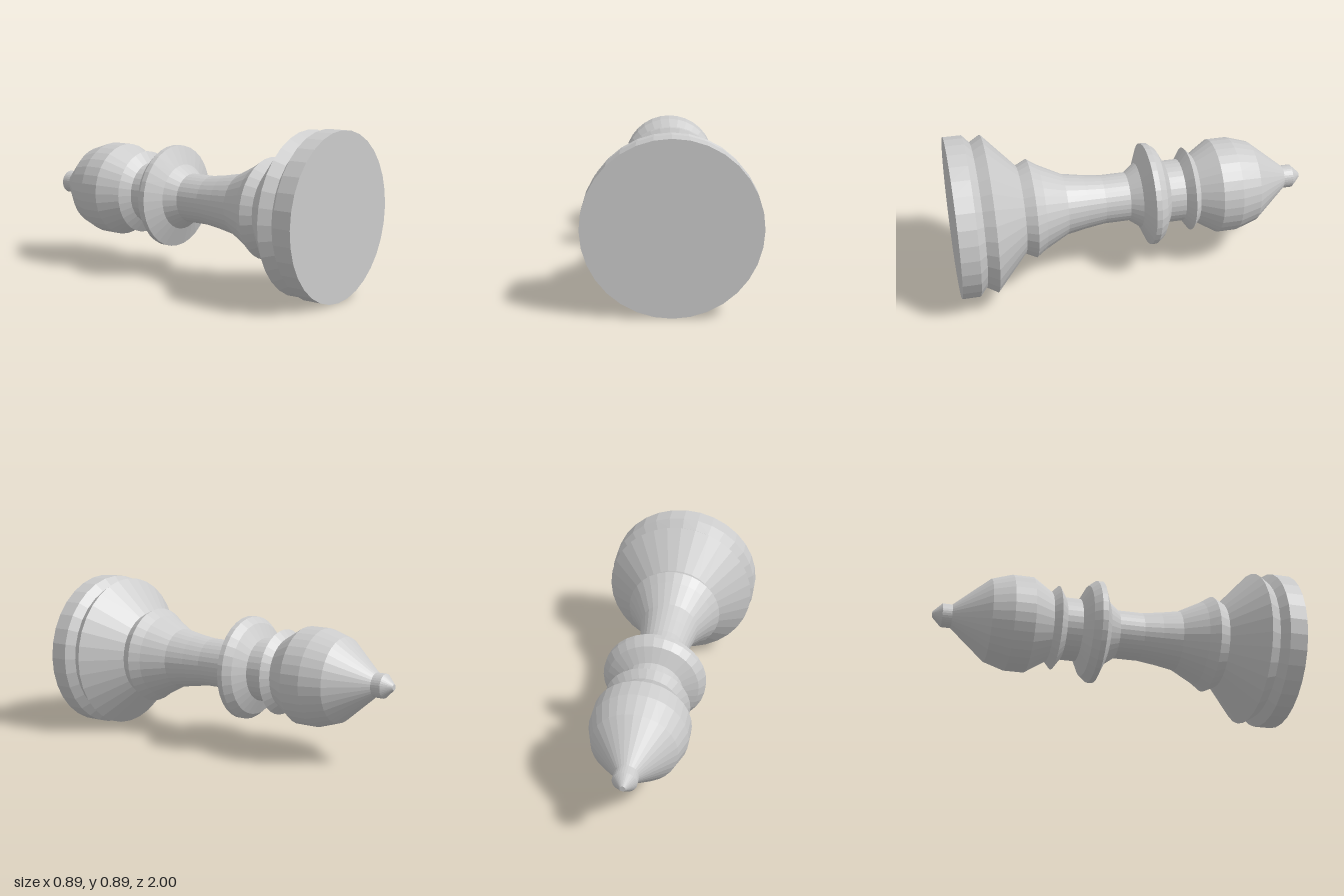
import * as THREE from 'three';

const SIDES = 32;
const AXIS_HEIGHT = 0.445;

// Each part is a run of [z, radius] rings, from the foot (z = 1) to the tip (z = -1).
const PARTS = {
  base: [[1, 0], [1, 0.445], [0.9, 0.445], [0.86, 0.4], [0.8, 0.436], [0.625, 0.245]],
  stem: [[0.625, 0.245], [0.565, 0.274], [0.51, 0.237], [0.38, 0.17], [0.27, 0.15],
    [0.165, 0.136], [0.025, 0.136]],
  collar: [[0.025, 0.136], [-0.037, 0.182], [-0.083, 0.287], [-0.113, 0.287],
    [-0.153, 0.255], [-0.195, 0.175]],
  neck: [[-0.195, 0.175], [-0.282, 0.175], [-0.323, 0.235], [-0.36, 0.195]],
  head: [[-0.36, 0.195], [-0.473, 0.266], [-0.585, 0.266], [-0.7, 0.23], [-0.897, 0.065]],
  finial: [[-0.897, 0.065], [-0.95, 0.065], [-1, 0.016], [-1, 0]],
};

export function createModel() {
  const piece = new THREE.Group();
  piece.name = 'chessBishop';
  const material = new THREE.MeshStandardMaterial({ color: 0xcccccc, flatShading: true });

  for (const [name, rings] of Object.entries(PARTS)) {
    const profile = rings.map(([z, r]) => new THREE.Vector2(r, -z));
    const geometry = new THREE.LatheGeometry(profile, SIDES);
    // Lay the turned part on its side, tip towards the back.
    geometry.rotateX(-Math.PI / 2).translate(0, AXIS_HEIGHT, 0);
    const mesh = new THREE.Mesh(geometry, material);
    mesh.name = name;
    piece.add(mesh);
  }
  return piece;
}
